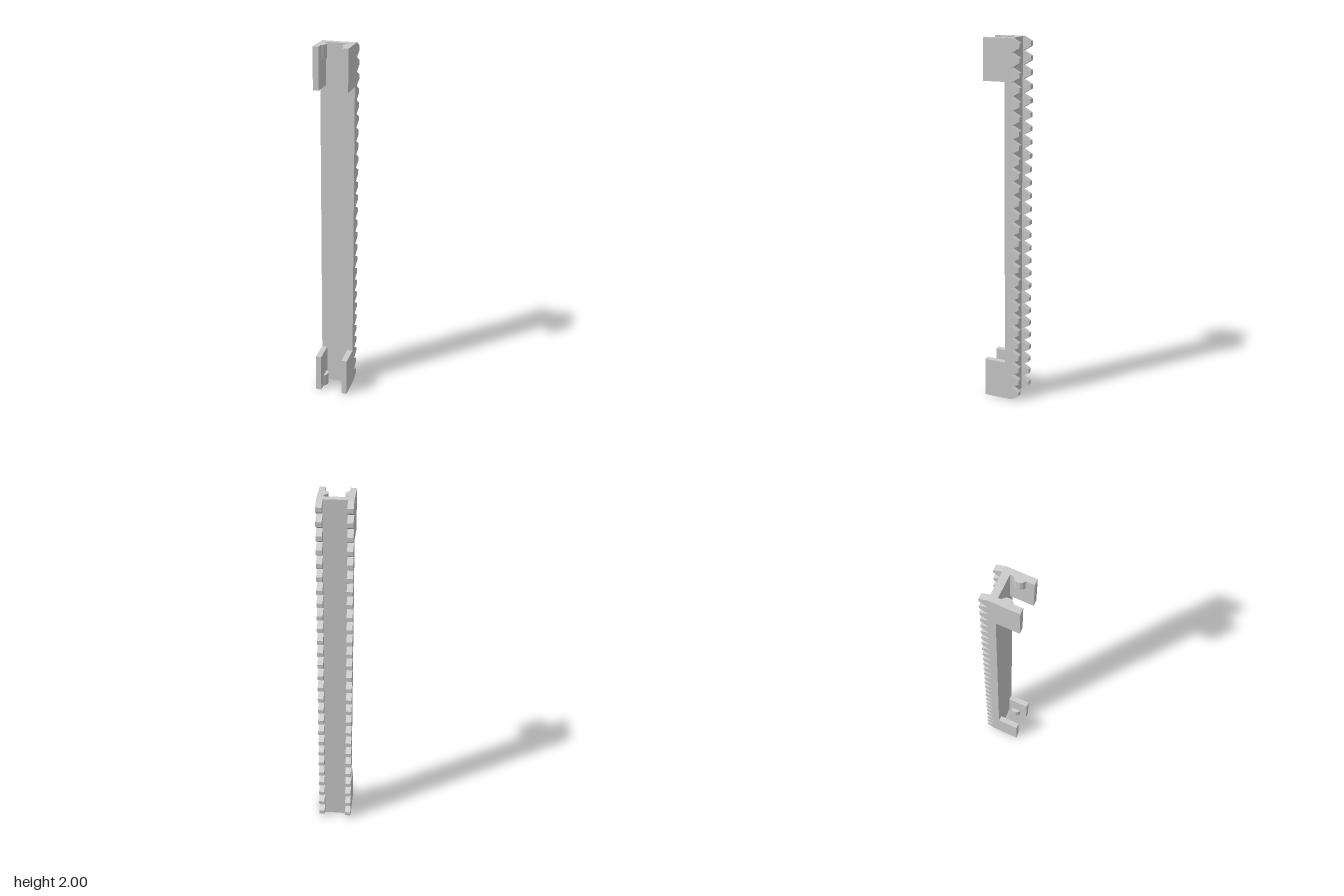
import * as THREE from 'three';
import { toCreasedNormals } from 'three/addons/utils/BufferGeometryUtils.js';

const HEIGHT = 2, HALF_WIDTH = 0.092, INNER = 0.061;
const FRONT = 0.1, PLATE_FRONT = -0.02, ROOT = -0.057, TIP = -0.102;
const TAB = 0.22, TEETH = 27, BUMP_LENGTH = 0.07;

// Side profile (z, y): front edge with end tabs, back edge with teeth
function railGeometry() {
  const s = new THREE.Shape();
  s.moveTo(ROOT, 0);
  s.lineTo(FRONT, 0);
  s.lineTo(FRONT, TAB);
  s.lineTo(PLATE_FRONT, TAB);
  s.lineTo(PLATE_FRONT, HEIGHT - TAB);
  s.lineTo(FRONT, HEIGHT - TAB);
  s.lineTo(FRONT, HEIGHT);
  s.lineTo(ROOT, HEIGHT);
  const pitch = HEIGHT / TEETH;
  for (let i = 0; i < TEETH; i++) {
    const top = HEIGHT - i * pitch;
    s.lineTo(TIP, top - pitch * 0.34);
    s.lineTo(TIP, top - pitch * 0.66);
    if (i < TEETH - 1) s.lineTo(ROOT, top - pitch);
  }
  s.closePath();
  const depth = HALF_WIDTH - INNER;
  const g = new THREE.ExtrudeGeometry(s, { depth, bevelEnabled: false });
  g.rotateY(-Math.PI / 2); // profile x becomes z, thickness runs along x
  g.translate(depth / 2, 0, 0);
  return g;
}

// Rounded snap bump: a circle segment bulging towards -x from its flat face
function bumpGeometry() {
  const rise = 0.019, half = 0.03;
  const r = (half * half + rise * rise) / (2 * rise);
  const a = Math.asin(half / r);
  const s = new THREE.Shape();
  s.absarc(r - rise, 0, r, Math.PI - a, Math.PI + a, false);
  s.closePath();
  const g = new THREE.ExtrudeGeometry(s, { depth: BUMP_LENGTH, bevelEnabled: false, curveSegments: 24 });
  g.rotateX(-Math.PI / 2);
  return toCreasedNormals(g, 0.5);
}

export function createModel() {
  const group = new THREE.Group();
  const material = new THREE.MeshStandardMaterial({ color: 0xcccccc });
  const add = (name, geometry, x, y, z) => {
    const mesh = new THREE.Mesh(geometry, material);
    mesh.name = name;
    mesh.position.set(x, y, z);
    group.add(mesh);
    return mesh;
  };

  // Web between the two rails
  add('centrePlate', new THREE.BoxGeometry(INNER * 2, HEIGHT, PLATE_FRONT - ROOT),
    0, HEIGHT / 2, (PLATE_FRONT + ROOT) / 2);

  // Toothed rails with end tabs, and a snap bump at each end
  const rail = railGeometry(), bump = bumpGeometry();
  for (const side of [1, -1]) {
    const label = side > 0 ? 'left' : 'right';
    add(label + 'ToothedRail', rail, side * (HALF_WIDTH + INNER) / 2, 0, 0);
    for (const [end, y] of [['Bottom', 0], ['Top', HEIGHT - BUMP_LENGTH]]) {
      const mesh = add(label + end + 'SnapBump', bump, side * INNER, y, 0.0265);
      if (side < 0) mesh.rotation.y = Math.PI;
    }
  }
  return group;
}
